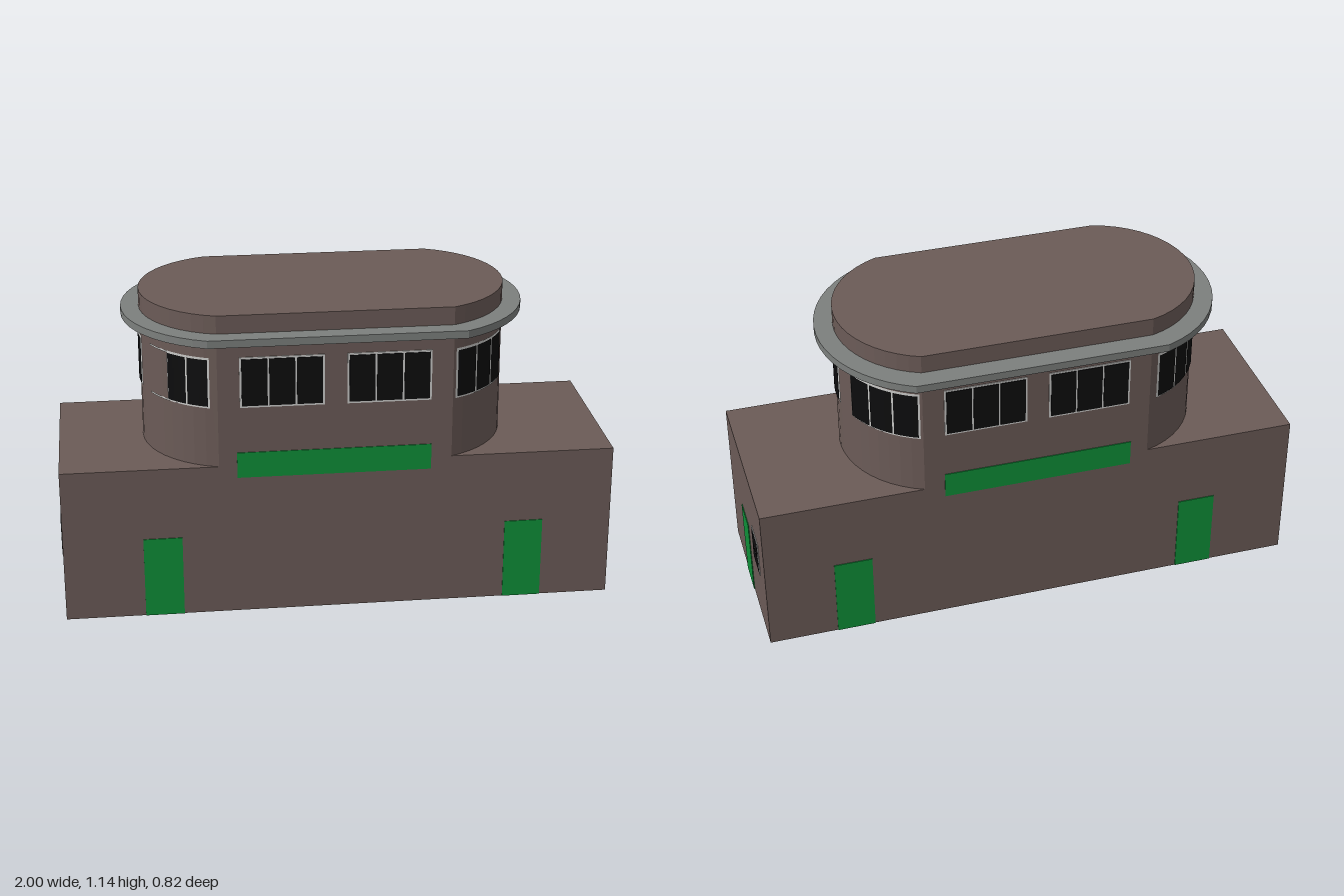
import * as THREE from 'three';

const material = (name, color) => {
  const m = new THREE.MeshStandardMaterial({ color });
  m.name = name;
  return m;
};
const deg = THREE.MathUtils.degToRad;

const HALF_X = 0.997, HALF_Z = 0.339, BASE_H = 0.575;
// Curved tower ends: arc centre on x, and radius
const ENDS = { right: { cx: 0.264, r: 0.366 }, left: { cx: -0.338, r: 0.352 } };

// Plan outline with straight long sides and an arc at each end
function planShape(halfZ, right, left) {
  const shape = new THREE.Shape();
  const points = [];
  const steps = 20;
  for (const [end, turn] of [[right, 0], [left, Math.PI]]) {
    const a = Math.asin(halfZ / end.r);
    for (let i = 0; i <= steps; i++) {
      const t = turn - a + (2 * a * i) / steps;
      points.push(new THREE.Vector2(end.cx + end.r * Math.cos(t), end.r * Math.sin(t)));
    }
  }
  shape.setFromPoints(points);
  return shape;
}

function slab(shape, y0, y1) {
  const g = new THREE.ExtrudeGeometry(shape, { depth: y1 - y0, bevelEnabled: false });
  g.rotateX(-Math.PI / 2);
  g.translate(0, y0, 0);
  return g;
}

export function createModel() {
  const wall = material('wall', 0x6b5b57);
  const green = material('green paint', 0x0e8f38);
  const grey = material('canopy grey', 0x7c7f7d);
  const white = material('window frame', 0xcacac8);
  const glass = material('dark glass', 0x0c0c0d);
  const curvedWhite = white, curvedGlass = glass;

  const model = new THREE.Group();
  model.name = 'building';
  const body = new THREE.Group();
  body.name = 'body';
  body.position.z = 0.004;
  model.add(body);

  const add = (parent, name, geometry, mat) => {
    const mesh = new THREE.Mesh(geometry, mat);
    mesh.name = name;
    parent.add(mesh);
    return mesh;
  };

  // Main masses
  const base = new THREE.BoxGeometry(2 * HALF_X, BASE_H, 2 * HALF_Z);
  base.translate(0, BASE_H / 2, 0);
  add(body, 'base', base, wall);
  add(body, 'tower', slab(planShape(HALF_Z, ENDS.right, ENDS.left), BASE_H, 1.14), wall);
  add(model, 'canopy', slab(planShape(0.41, { cx: 0.242, r: 0.455 }, { cx: -0.319, r: 0.436 }), 1.046, 1.074), grey);

  // Each wall face has its own frame: local x along the wall, local z outward
  const face = (name, angle, distance) => {
    const turn = new THREE.Group();
    turn.name = name;
    turn.rotation.y = angle;
    turn.userData.distance = distance;
    body.add(turn);
    return turn;
  };
  const front = face('frontDetails', 0, HALF_Z);
  const back = face('backDetails', Math.PI, HALF_Z);
  const right = face('plusXDetails', Math.PI / 2, HALF_X);
  const left = face('minusXDetails', -Math.PI / 2, HALF_X);

  // Thin painted plate standing proud of a wall
  const plate = (parent, name, u0, u1, y0, y1, mat, proud = 0.003) => {
    const g = new THREE.BoxGeometry(u1 - u0, y1 - y0, proud);
    const mesh = add(parent, name, g, mat);
    mesh.position.set((u0 + u1) / 2, (y0 + y1) / 2, parent.userData.distance + proud / 2);
  };

  // Front and back: two doors, a sign band and two triple windows
  for (const [wallFace, s] of [[front, 1], [back, -1]]) {
    const span = (name, x0, x1, y0, y1, mat, proud) =>
      plate(wallFace, name, Math.min(s * x0, s * x1), Math.max(s * x0, s * x1), y0, y1, mat, proud);
    span('door', -0.71, -0.57, 0, 0.305, green);
    span('door', 0.605, 0.745, 0, 0.305, green);
    span('signBand', -0.368, 0.328, 0.53, 0.626, green);
    for (const x of [-0.355, 0.025]) {
      span('windowFrame', x, x + 0.3, 0.797, 0.985, white);
      for (let i = 0; i < 3; i++) {
        const p = x + 0.007 + i * 0.0975;
        span('windowPane', p, p + 0.091, 0.804, 0.978, glass, 0.006);
      }
    }
  }

  // Ends: a door and a small two-pane window
  for (const [wallFace, door, win] of [[right, -0.108, 0.113], [left, -0.015, 0.17]]) {
    plate(wallFace, 'door', door, door + 0.132, 0, 0.305, green);
    plate(wallFace, 'windowFrame', win, win + 0.118, 0.232, 0.373, white);
    plate(wallFace, 'windowPane', win + 0.01, win + 0.108, 0.239, 0.296, glass, 0.004);
    plate(wallFace, 'windowPane', win + 0.01, win + 0.108, 0.304, 0.368, glass, 0.004);
  }

  // Curved windows; angles are measured from the end's axis toward +z
  const band = (name, side, a0, a1, y0, y1, mat, proud) => {
    const { cx, r } = ENDS[side];
    const start = side === 'right' ? 90 - a1 : 270 + a0;
    const g = new THREE.CylinderGeometry(r + proud, r + proud, y1 - y0, 8, 1, true, deg(start), deg(a1 - a0));
    add(body, name, g, mat).position.set(cx, (y0 + y1) / 2, 0);
  };
  const curvedWindow = (side, a0, a1, panes) => {
    band('curvedWindowFrame', side, a0, a1, 0.797, 0.985, curvedWhite, 0.003);
    const step = (a1 - a0 - 1) / panes;
    for (let i = 0; i < panes; i++) {
      const a = a0 + 1 + i * step;
      band('curvedWindowPane', side, a, a + step - 1, 0.804, 0.978, curvedGlass, 0.006);
    }
  };
  curvedWindow('right', 24, 66.5, 3);
  curvedWindow('right', -66.5, -21, 3);
  curvedWindow('right', -7, 9, 1);
  curvedWindow('left', -70, -26, 3);
  curvedWindow('left', -3, 13, 1);
  // Front window at the -x end: two glazed bays, with the rails running on
  curvedWindow('left', 42, 70, 2);
  for (const y of [0.797, 0.978]) band('windowRail', 'left', 26, 42, y, y + 0.007, curvedWhite, 0.003);

  return model;
}
